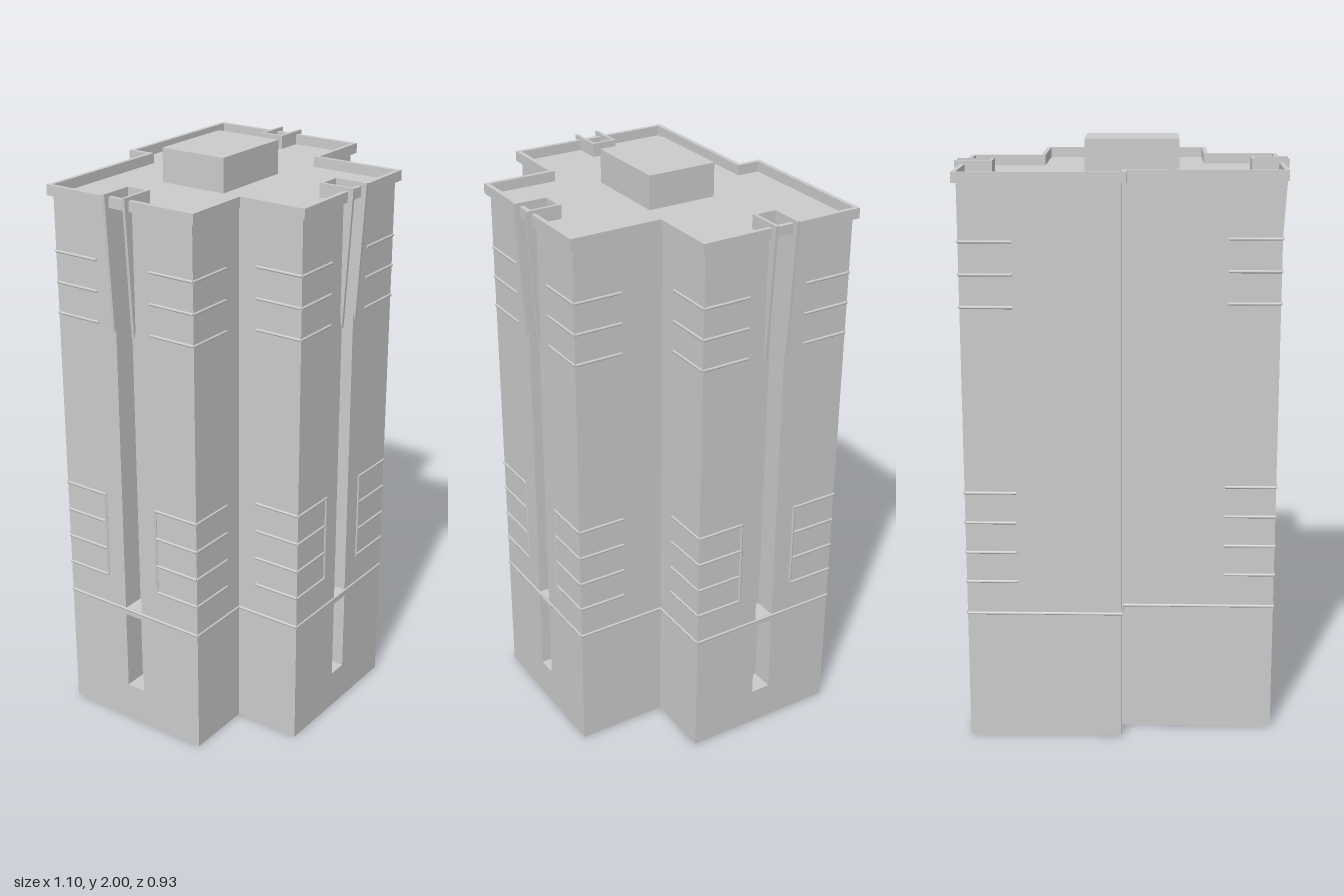
import * as THREE from 'three';

const mat = new THREE.MeshStandardMaterial({ color: 0xcccccc, side: THREE.DoubleSide, flatShading: true });
const smooth = new THREE.MeshStandardMaterial({ color: 0xcccccc });

const ROOF = 1.885, NICHE_HALF = 0.035, NICHE_DEPTH = 0.08;

// Floor plan as [x, z], counter-clockwise seen from above
const plan = [
  [-0.275, 0.425], [0.275, 0.425], [0.275, 0.105], [0.515, 0.105], [0.515, -0.45],
  [-0.002, -0.45], [-0.002, -0.37], [-0.515, -0.37], [-0.515, 0.185], [-0.275, 0.185],
].map(([x, z]) => new THREE.Vector2(x, z));

// Edges with direction t and outward normal n
const edges = plan.map((a, i) => {
  const b = plan[(i + 1) % plan.length];
  const t = b.clone().sub(a).normalize();
  return { a, b, t, n: new THREE.Vector2(-t.y, t.x), mid: a.clone().add(b).multiplyScalar(0.5) };
});
const nicheEdges = [0, 3, 7].map((i) => edges[i]);
const ledgeCorners = [0, 1, 3, 4, 7, 8];

const along = (p, t, d, n, e = 0) => p.clone().addScaledVector(t, d).addScaledVector(n, e);
const nicheCorners = ({ mid, t, n }) => [
  along(mid, t, -NICHE_HALF, n), along(mid, t, -NICHE_HALF, n, -NICHE_DEPTH),
  along(mid, t, NICHE_HALF, n, -NICHE_DEPTH), along(mid, t, NICHE_HALF, n),
];
const notchedPlan = edges.flatMap((e) => (nicheEdges.includes(e) ? [e.a, ...nicheCorners(e)] : [e.a]));

const toShape = (pts) => new THREE.Shape(pts.map((p) => new THREE.Vector2(p.x, -p.y)));

function add(group, name, geometry, material = mat) {
  const mesh = new THREE.Mesh(geometry, material);
  mesh.name = name;
  group.add(mesh);
  return mesh;
}

// Open ring of vertical walls
function walls(pts, y0, y1) {
  const v = [];
  pts.forEach((a, i) => {
    const b = pts[(i + 1) % pts.length];
    v.push(a.x, y0, a.y, b.x, y0, b.y, b.x, y1, b.y, a.x, y0, a.y, b.x, y1, b.y, a.x, y1, a.y);
  });
  const g = new THREE.BufferGeometry();
  g.setAttribute('position', new THREE.Float32BufferAttribute(v, 3));
  g.computeVertexNormals();
  return g;
}

const flat = (pts, y) => new THREE.ShapeGeometry(toShape(pts)).rotateX(-Math.PI / 2).translate(0, y, 0);

// Thin round moulding between two points
function rod(group, name, from, to, r = 0.005) {
  const d = to.clone().sub(from);
  const mesh = add(group, name, new THREE.CylinderGeometry(r, r, d.length(), 8), smooth);
  mesh.position.copy(from).addScaledVector(d, 0.5);
  mesh.quaternion.setFromUnitVectors(new THREE.Vector3(0, 1, 0), d.normalize());
}
const at = (p, y) => new THREE.Vector3(p.x, y, p.y);

export function createModel() {
  const model = new THREE.Group();
  model.name = 'towerBlock';

  // Hollow walls, open underneath, with tall niches
  const body = new THREE.Group();
  body.name = 'body';
  model.add(body);
  add(body, 'baseWalls', walls(plan, 0, 0.135));
  add(body, 'lowerNicheWalls', walls(notchedPlan, 0.135, 0.425));
  add(body, 'nicheDividerWalls', walls(plan, 0.425, 0.45));
  add(body, 'upperWalls', walls(notchedPlan, 0.45, ROOF));
  add(body, 'roof', flat(notchedPlan, ROOF));
  for (const e of nicheEdges)
    for (const y of [0.135, 0.425, 0.45]) add(body, 'nicheSill', flat(nicheCorners(e), y));

  // Parapet around the roof
  const outer = plan.map((p, i) => {
    const prev = edges[(i + plan.length - 1) % plan.length];
    return p.clone().addScaledVector(prev.n, 0.015).addScaledVector(edges[i].n, 0.015);
  });
  const ring = toShape(outer);
  ring.holes.push(toShape(plan));
  add(model, 'parapet', new THREE.ExtrudeGeometry(ring, { depth: 0.035, bevelEnabled: false })
    .rotateX(-Math.PI / 2).translate(0, ROOF, 0));

  // Rooftop plant room
  add(model, 'plantRoom', new THREE.BoxGeometry(0.31, 2 - ROOF, 0.245))
    .position.set(-0.03, (2 + ROOF) / 2, -0.0625);

  // Tapered fins and roof kerb at the head of each niche
  const finShape = new THREE.Shape([
    [-0.09, ROOF], [0, ROOF], [0, 1.49], [0.007, 1.465], [0.035, 1.932], [-0.09, 1.932],
  ].map(([d, y]) => new THREE.Vector2(d, y)));
  const finGeometry = new THREE.ExtrudeGeometry(finShape, { depth: 0.01, bevelEnabled: false })
    .rotateY(-Math.PI / 2);
  for (const e of nicheEdges) {
    const head = new THREE.Group();
    head.name = 'nicheHead';
    head.position.set(e.mid.x, 0, e.mid.y);
    head.rotation.y = Math.atan2(e.n.x, e.n.y);
    for (const x of [-NICHE_HALF, NICHE_HALF + 0.01]) add(head, 'fin', finGeometry).position.x = x;
    add(head, 'kerb', new THREE.BoxGeometry(0.07, 0.047, 0.01)).position.set(0, ROOF + 0.0235, -0.085);
    model.add(head);
  }

  // String course around the whole building
  const trim = new THREE.Group();
  trim.name = 'trim';
  model.add(trim);
  for (const e of edges) rod(trim, 'stringCourse', at(e.a, 0.447), at(e.b, 0.447));

  // Ledges wrapping the outer corners
  const run = 0.17;
  for (const i of ledgeCorners) {
    const prev = edges[(i + plan.length - 1) % plan.length], next = edges[i];
    for (const y of [0.56, 0.663, 0.767, 0.87, 1.49, 1.595, 1.7]) {
      rod(trim, 'ledge', at(plan[i], y), at(along(plan[i], prev.t, -run, prev.n), y));
      rod(trim, 'ledge', at(plan[i], y), at(along(plan[i], next.t, run, next.n), y));
    }
  }

  // Upright bars closing the lower ledges beside each niche
  for (const e of nicheEdges)
    for (const p of [along(e.a, e.t, run, e.n), along(e.b, e.t, -run, e.n)])
      rod(trim, 'uprightBar', at(p, 0.556), at(p, 0.874));

  return model;
}
